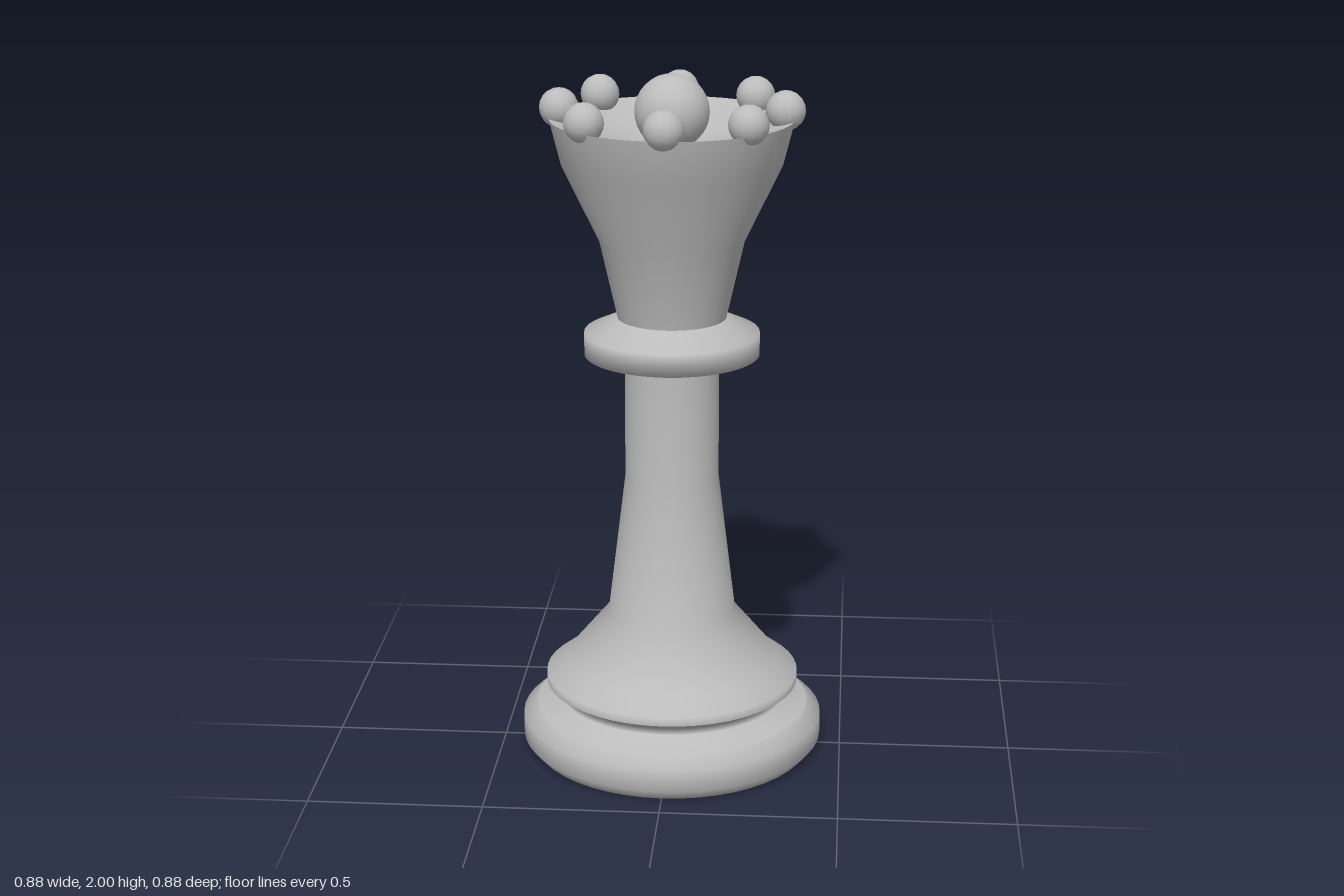
import * as THREE from 'three';

const SEGMENTS = 48;

export function createModel() {
  const model = new THREE.Group();
  model.name = 'chessPiece';
  const grey = new THREE.MeshStandardMaterial({ color: 0xbcbcbc });
  grey.name = 'grey';

  const add = (name, geometry, parent = model) => {
    const mesh = new THREE.Mesh(geometry, grey);
    mesh.name = name;
    parent.add(mesh);
    return mesh;
  };
  // Each turned section is its own lathe, so edges between sections stay sharp
  const turn = (name, profile) =>
    add(name, new THREE.LatheGeometry(profile.map(([r, y]) => new THREE.Vector2(r, y)), SEGMENTS));

  // Foot: broad rounded base, groove and sloping ring
  turn('base', [[0, 0], [0.41, 0], [0.44, 0.035], [0.44, 0.1], [0.4, 0.135]]);
  turn('groove', [[0.4, 0.135], [0.33, 0.16], [0.33, 0.18], [0.37, 0.205]]);
  turn('footRing', [[0.37, 0.205], [0.37, 0.23], [0.31, 0.275], [0.185, 0.425], [0.135, 0.835], [0.135, 1.165]]);

  // Collar around the neck
  turn('collar', [[0.135, 1.165], [0.25, 1.2], [0.25, 1.265], [0.155, 1.308]]);

  // Flared crown and its hollow top
  turn('crown', [[0.155, 1.308], [0.205, 1.53], [0.31, 1.75], [0.342, 1.877]]);
  turn('crownHollow', [[0.342, 1.877], [0.17, 1.83], [0, 1.79]]);

  // Central ball
  add('centreBall', new THREE.SphereGeometry(0.105, 24, 16)).position.y = 1.895;

  // Eight small balls spaced around the rim
  const rim = new THREE.Group();
  rim.name = 'rimBalls';
  model.add(rim);
  const ball = new THREE.SphereGeometry(0.056, 14, 10);
  for (let i = 0; i < 8; i++) {
    const a = (i / 8) * Math.PI * 2;
    add('rimBall', ball, rim).position.set(0.315 * Math.cos(a), 1.902, 0.315 * Math.sin(a));
  }
  return model;
}
